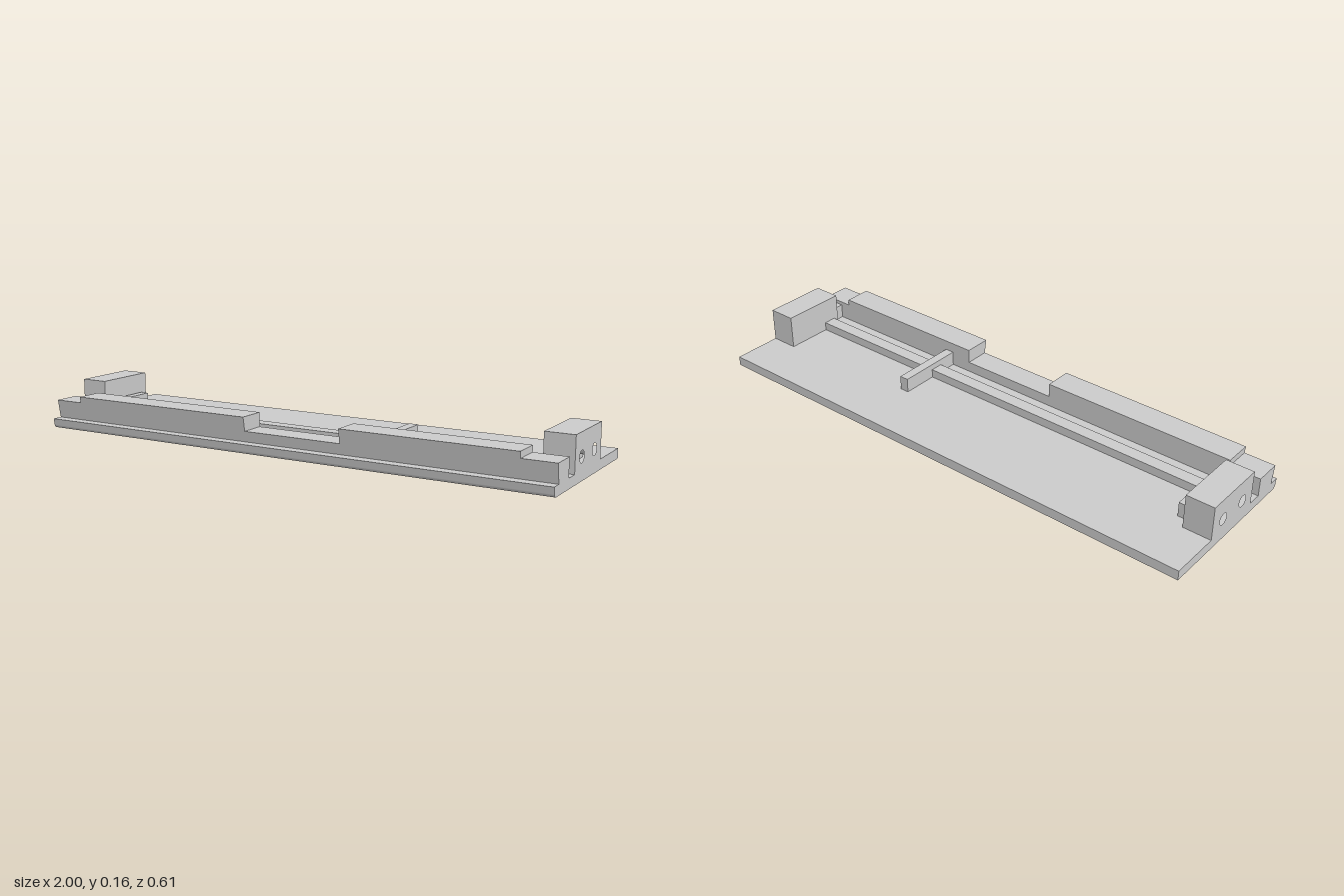
import * as THREE from 'three';

const material = new THREE.MeshStandardMaterial({ color: 0xcccccc });
const DECK = 0.036;

function add(group, name, geometry) {
  const mesh = new THREE.Mesh(geometry, material);
  mesh.name = name;
  group.add(mesh);
}

// Box given by its limits on each axis
function box(x0, x1, y0, y1, z0, z1) {
  return new THREE.BoxGeometry(x1 - x0, y1 - y0, z1 - z0)
    .translate((x0 + x1) / 2, (y0 + y1) / 2, (z0 + z1) / 2);
}

// Sweep a side profile, drawn in (-z, y), along x
function sweep(shape, x0, x1) {
  return new THREE.ExtrudeGeometry(shape, { depth: x1 - x0, bevelEnabled: false, curveSegments: 24 })
    .rotateY(Math.PI / 2).translate(x0, 0, 0);
}

function polygon(points) {
  return new THREE.Shape(points.map(([z, y]) => new THREE.Vector2(-z, y)));
}

export function createModel() {
  const model = new THREE.Group();
  model.name = 'slideBase';

  // Base plate with a slanted front edge and rounded lower corner
  const plate = new THREE.Shape();
  plate.moveTo(0.306, 0);
  plate.lineTo(0.306, DECK);
  plate.lineTo(-0.307, DECK);
  plate.lineTo(-0.303, 0.013);
  plate.quadraticCurveTo(-0.301, 0, -0.287, 0);
  plate.closePath();
  add(model, 'basePlate', sweep(plate, -1, 1));

  // Front wall: one leaning profile cut to a different height in each stretch
  const wall = [
    [-1, -0.885, 0.104], [-0.885, -0.14, 0.127], [-0.14, 0.24, 0.075],
    [0.24, 0.88, 0.127], [0.88, 1, 0.104],
  ];
  for (const [x0, x1, top] of wall) {
    const lean = 0.268 + (top - DECK) * 0.176;
    add(model, 'frontWall', sweep(polygon([[0.181, DECK], [0.268, DECK], [lean, top], [0.181, top]]), x0, x1));
  }

  // End blocks: solid core plus an outer slab with two blind holes
  for (const side of [-1, 1]) {
    const block = new THREE.Group();
    block.name = side < 0 ? 'rightEndBlock' : 'leftEndBlock';
    const slab = polygon([[0.129, DECK], [0.129, 0.163], [-0.117, 0.163], [-0.117, DECK]]);
    for (const z of [0.067, -0.053]) {
      slab.holes.push(new THREE.Path().absarc(-z, 0.082, 0.021, 0, Math.PI * 2, true));
    }
    const [o0, o1] = side < 0 ? [-1, -0.94] : [0.94, 1];
    const [c0, c1] = side < 0 ? [-0.94, -0.895] : [0.895, 0.94];
    add(block, 'drilledSlab', sweep(slab, o0, o1));
    add(block, 'blockCore', box(c0, c1, DECK, 0.163, -0.117, 0.129));
    model.add(block);
  }

  // Low rail running between the end blocks
  add(model, 'longRail', box(-0.895, 0.895, DECK, 0.068, 0.06, 0.109));

  // Crossbars over the rail, and a short one beside the left block
  add(model, 'crossbar', box(-0.885, -0.852, DECK, 0.09, -0.077, 0.181));
  add(model, 'crossbar', box(0.32, 0.355, DECK, 0.09, -0.077, 0.181));
  add(model, 'shortCrossbar', box(0.922, 0.955, DECK, 0.09, 0.129, 0.181));

  return model;
}
